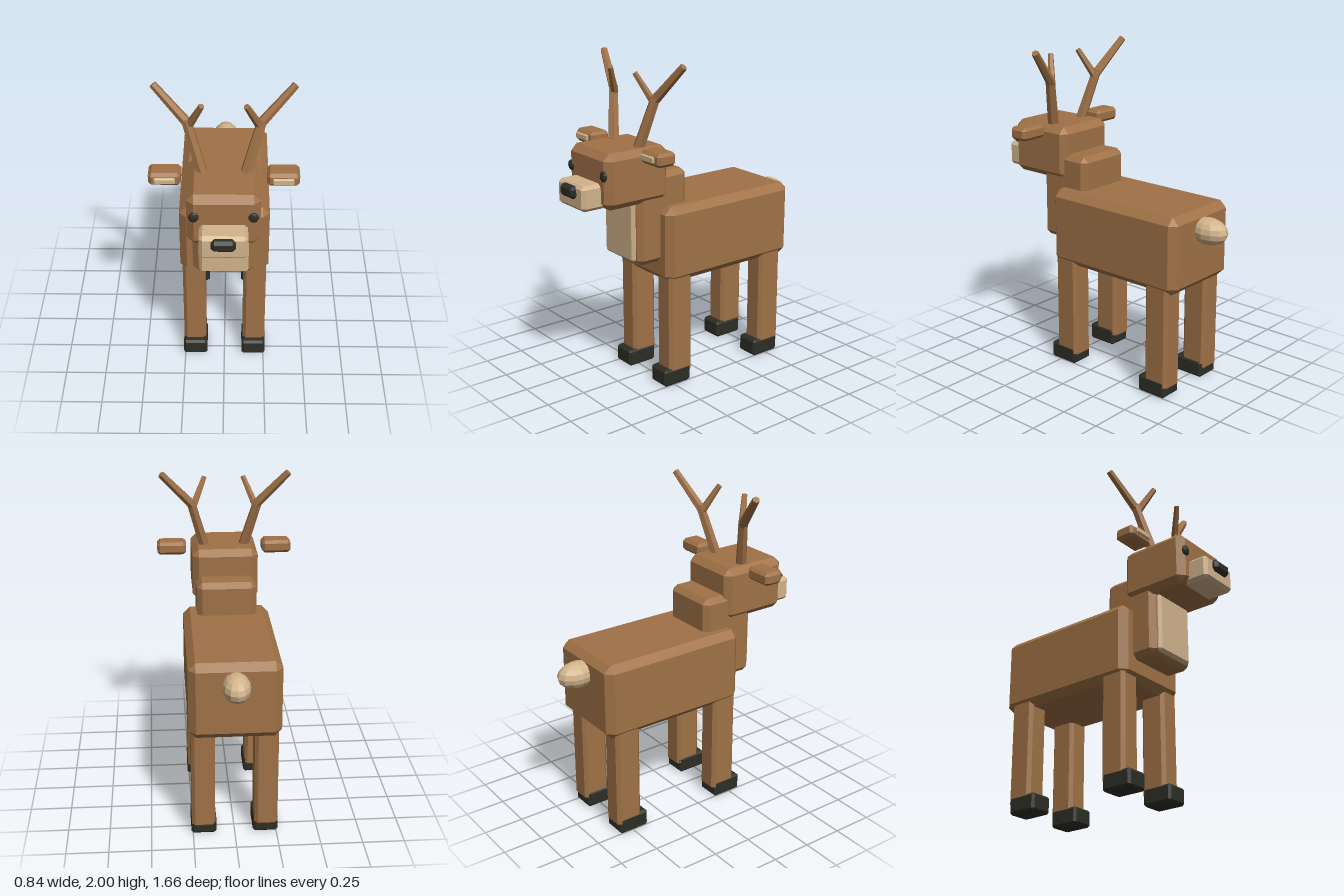
import * as THREE from 'three';
import { ConvexGeometry } from 'three/addons/geometries/ConvexGeometry.js';

const material = (name, color) => {
  const m = new THREE.MeshStandardMaterial({ color, flatShading: true });
  m.name = name;
  return m;
};

export function createModel() {
  const fur = material('brown fur', 0xa07247);
  const cream = material('cream fur', 0xd2b48c);
  const dark = material('dark horn', 0x2e2e27);
  const model = new THREE.Group();
  model.name = 'deer';

  const add = (name, geometry, mat, parent = model) => {
    const mesh = new THREE.Mesh(geometry, mat);
    mesh.name = name;
    parent.add(mesh);
    return mesh;
  };

  // Box with chamfered edges, given by its [min, max] range on each axis
  const block = (name, xs, ys, zs, bevel, mat, parent) => {
    const ranges = [xs, ys, zs];
    const half = ranges.map(([a, b]) => (b - a) / 2);
    const points = [];
    for (const sx of [-1, 1]) for (const sy of [-1, 1]) for (const sz of [-1, 1]) {
      const s = [sx, sy, sz];
      for (let full = 0; full < 3; full++) {
        points.push(new THREE.Vector3(...s.map((v, i) => v * (half[i] - (i === full ? 0 : bevel)))));
      }
    }
    const mesh = add(name, new ConvexGeometry(points), mat, parent);
    mesh.position.set(...ranges.map(([a, b]) => (a + b) / 2));
    return mesh;
  };

  const ball = (name, center, radii, mat, parent) => {
    const mesh = add(name, new THREE.SphereGeometry(1, 12, 8), mat, parent);
    mesh.position.set(...center);
    mesh.scale.set(...radii);
    return mesh;
  };

  // Six-sided rod between two points
  const rod = (name, from, to, r0, r1, parent) => {
    const a = new THREE.Vector3(...from), b = new THREE.Vector3(...to);
    const dir = b.clone().sub(a);
    const mesh = add(name, new THREE.CylinderGeometry(r1, r0, dir.length(), 6), fur, parent);
    mesh.position.copy(a).add(b).multiplyScalar(0.5);
    mesh.quaternion.setFromUnitVectors(new THREE.Vector3(0, 1, 0), dir.normalize());
  };

  // Mirrored x range for a part on the given side
  const span = (side, a, b) => (side > 0 ? [a, b] : [-b, -a]);

  // Trunk, neck and head
  block('body', [-0.27, 0.27], [0.665, 1.135], [-0.66, 0.3], 0.043, fur);
  block('neck', [-0.185, 0.185], [0.79, 1.34], [0.095, 0.45], 0.033, fur);
  block('chest', [-0.145, 0.145], [0.81, 1.18], [0.43, 0.472], 0.016, cream);
  block('head', [-0.205, 0.205], [1.175, 1.505], [0.242, 0.68], 0.04, fur);
  block('muzzle', [-0.135, 0.135], [1.18, 1.33], [0.6, 0.8], 0.02, cream);
  block('nose', [-0.068, 0.068], [1.248, 1.32], [0.775, 0.83], 0.018, dark);
  ball('tail', [0, 1.018, -0.705], [0.082, 0.08, 0.125], cream).name = 'tail';

  for (const side of [1, -1]) {
    const label = side > 0 ? 'left' : 'right';

    // Eyes and ears
    ball(label + 'Eye', [side * 0.164, 1.38, 0.68], [0.029, 0.032, 0.015], dark);
    block(label + 'Ear', span(side, 0.24, 0.422), [1.445, 1.525], [0.36, 0.485], 0.018, fur);
    block(label + 'InnerEar', span(side, 0.27, 0.39), [1.469, 1.509], [0.487, 0.505], 0.007, cream);

    // Forked antler
    const antler = new THREE.Group();
    antler.name = label + 'Antler';
    model.add(antler);
    const fork = [side * 0.21, 1.8, 0.345];
    rod('beam', [side * 0.115, 1.46, 0.415], fork, 0.035, 0.029, antler);
    rod('outerBranch', [side * 0.2, 1.775, 0.348], [side * 0.388, 1.984, 0.287], 0.029, 0.022, antler);
    rod('innerTine', [side * 0.192, 1.765, 0.35], [side * 0.12, 1.93, 0.425], 0.024, 0.017, antler);

    // Legs with hooves
    for (const [end, z] of [['Front', 0.2], ['Back', -0.52]]) {
      block(label + end + 'Leg', span(side, 0.117, 0.257), [0.05, 0.72], [z - 0.085, z + 0.082], 0.02, fur);
      block(label + end + 'Hoof', span(side, 0.11, 0.26), [0, 0.108], [z - 0.072, z + 0.125], 0.014, dark);
    }
  }
  return model;
}
